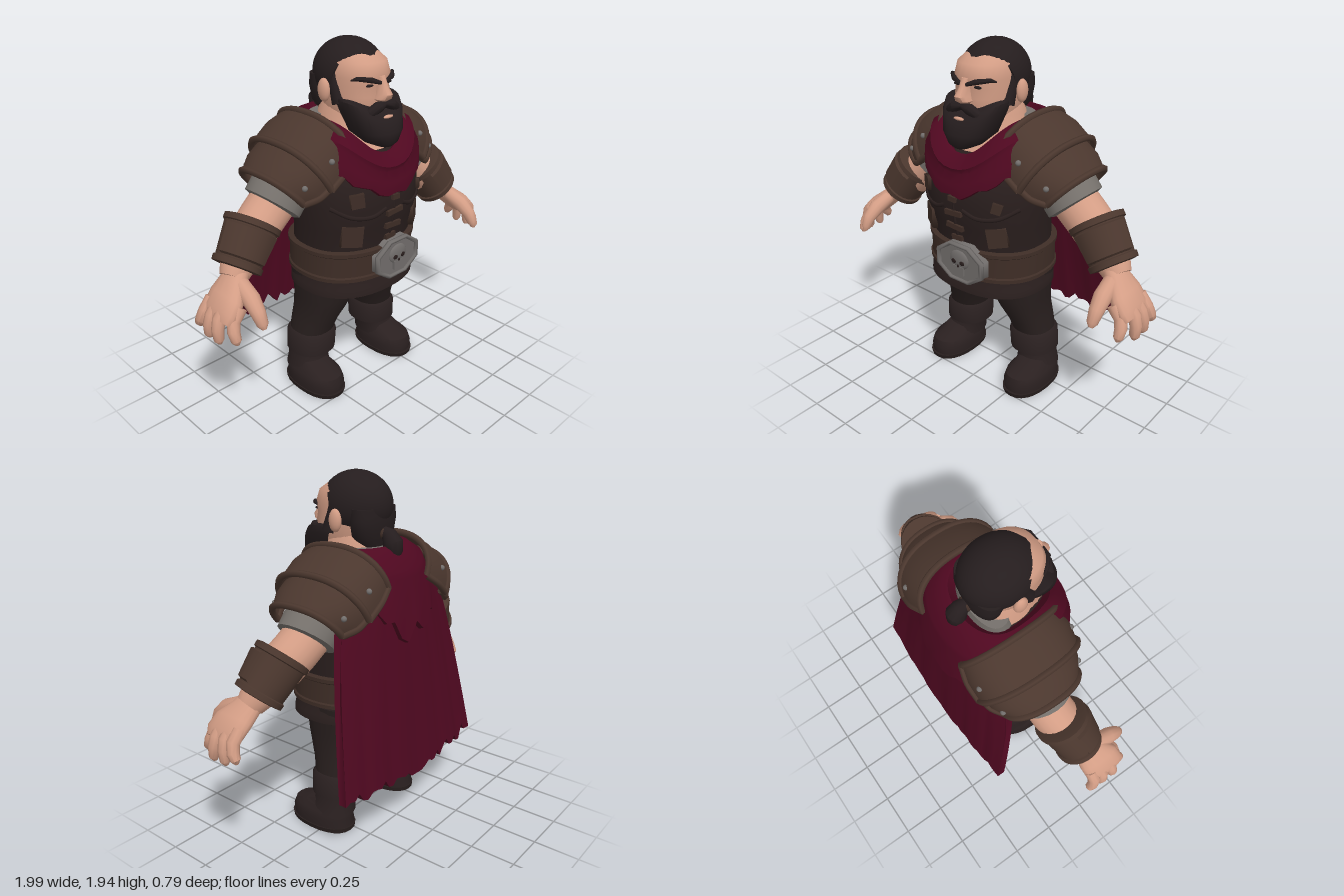
import * as THREE from 'three';
import { toCreasedNormals } from 'three/addons/utils/BufferGeometryUtils.js';

const V = (x, y, z) => new THREE.Vector3(x, y, z);
const lerp = THREE.MathUtils.lerp;
const mat = (name, color, side = THREE.FrontSide) => {
  const m = new THREE.MeshStandardMaterial({ color, side });
  m.name = name;
  return m;
};

// Surface through rows of points; closed rows become rings, optionally capped
function skin(rows, closed = true, caps = true) {
  const n = rows[0].length, pos = [], idx = [];
  rows.forEach(r => r.forEach(p => pos.push(p.x, p.y, p.z)));
  for (let i = 0; i < rows.length - 1; i++)
    for (let j = 0; j < (closed ? n : n - 1); j++) {
      const k = (j + 1) % n, a = i * n + j, b = i * n + k, c = a + n, d = b + n;
      idx.push(a, c, b, b, c, d);
    }
  if (closed && caps) [0, rows.length - 1].forEach(i => {
    const m = rows[i].reduce((s, p) => s.add(p), V(0, 0, 0)).divideScalar(n);
    const q = pos.length / 3;
    pos.push(m.x, m.y, m.z);
    for (let j = 0; j < n; j++) {
      const a = i * n + j, b = i * n + (j + 1) % n;
      i === 0 ? idx.push(q, a, b) : idx.push(q, b, a);
    }
  });
  const g = new THREE.BufferGeometry();
  g.setAttribute('position', new THREE.Float32BufferAttribute(pos, 3));
  g.setIndex(idx);
  return toCreasedNormals(g, 0.8);
}

// Upright body from sections [y, halfWidth, zFront, zBack, xCentre]
const pw = (v, e) => Math.sign(v) * Math.abs(v) ** e;
const POW = 2 / 2.3;
const loft = (sections, seg = 32, rule = p => p) => skin(sections.map(([y, hx, zf, zb, cx = 0]) =>
  Array.from({ length: seg }, (_, j) => {
    const t = j / seg * Math.PI * 2;
    return rule(V(cx + hx * pw(Math.cos(t), POW), y, (zf + zb) / 2 + (zf - zb) / 2 * pw(Math.sin(t), POW)));
  })));

// Tapered limb along points [x, y, z, radius]; a partial turn gives an open plate
function limb(pts, seg = 16, start = 0, turn = Math.PI * 2) {
  const P = pts.map(p => V(p[0], p[1], p[2])), full = turn > 6.28;
  return skin(P.map((p, i) => {
    const d = P[Math.min(i + 1, P.length - 1)].clone().sub(P[Math.max(i - 1, 0)]).normalize();
    const v = V(0, 0, 1).addScaledVector(d, -d.z).normalize(), u = d.clone().cross(v);
    return Array.from({ length: full ? seg : seg + 1 }, (_, j) => {
      const t = start + j / seg * turn;
      return p.clone().addScaledVector(u, pts[i][3] * Math.cos(t)).addScaledVector(v, pts[i][3] * Math.sin(t));
    });
  }), full);
}
const cord = (pts, r) => new THREE.TubeGeometry(new THREE.CatmullRomCurve3(pts), 28, r, 6);
const ball = (x, y, z, rx, ry = rx, rz = rx) => new THREE.SphereGeometry(1, 14, 10).scale(rx, ry, rz).translate(x, y, z);

function mirrored(geo) {
  const g = geo.index ? geo.toNonIndexed() : geo.clone();
  g.scale(-1, 1, 1);
  for (const a of Object.values(g.attributes))
    for (let i = 0; i < a.count; i += 3)
      for (let k = 0; k < a.itemSize; k++) {
        const x = a.array[(i + 1) * a.itemSize + k];
        a.array[(i + 1) * a.itemSize + k] = a.array[(i + 2) * a.itemSize + k];
        a.array[(i + 2) * a.itemSize + k] = x;
      }
  return g;
}

export function createModel() {
  const model = new THREE.Group();
  const skinTone = mat('skin', 0xd39d85), hair = mat('hair', 0x251d1e), vestM = mat('vest leather', 0x291e1d);
  const plate = mat('armour leather', 0x4b372e, THREE.DoubleSide), strap = mat('strap leather', 0x3e2d26);
  const red = mat('cape red', 0x4f0820, THREE.DoubleSide), shirt = mat('shirt grey', 0x76716c);
  const metal = mat('metal', 0x716d6b), pants = mat('trousers', 0x271e1d), boot = mat('boots', 0x2a2020);
  const add = (name, geo, m) => {
    const mesh = new THREE.Mesh(geo, m);
    mesh.name = name;
    model.add(mesh);
  };
  const pair = (name, geo, m) => { add(name + 'Left', geo, m); add(name + 'Right', mirrored(geo), m); };

  // Vest with flared hem
  const vest = [[0.63, 0.335, 0.34, -0.21], [0.64, 0.355, 0.36, -0.225], [0.68, 0.352, 0.355, -0.225], [0.7, 0.34, 0.345, -0.215],
    [0.8, 0.335, 0.335, -0.21], [0.92, 0.335, 0.335, -0.2], [1.02, 0.345, 0.36, -0.19], [1.15, 0.352, 0.378, -0.2],
    [1.28, 0.355, 0.365, -0.22], [1.4, 0.32, 0.29, -0.21], [1.5, 0.21, 0.17, -0.17]];
  add('vest', loft(vest, 40), vestM);
  const front = (x, y) => {
    const i = Math.max(1, vest.findIndex(s => s[0] >= y)), a = vest[i - 1], b = vest[i], t = (y - a[0]) / (b[0] - a[0]);
    const [hx, zf, zb] = [1, 2, 3].map(k => lerp(a[k], b[k], t));
    return (zf + zb) / 2 + (zf - zb) / 2 * (1 - (Math.abs(x) / hx) ** 2.3) ** (1 / 2.3);
  };
  const onVest = (geo, x, y, spin = 0) => geo.rotateZ(spin)
    .rotateY(Math.atan2(front(x - 0.02, y) - front(x + 0.02, y), 0.04)).translate(x, y, front(x, y));
  [[-0.22, 1.2, 0.055, 0.9], [-0.23, 1.0, 0.085, 0.7], [0.23, 1.0, 0.08, 0.95], [0.24, 1.17, 0.04, 0.5]].forEach(([x, y, r, spin]) =>
    add('vestPatch', onVest(new THREE.CylinderGeometry(r * 0.92, r, 0.03, 4).rotateX(Math.PI / 2), x, y, spin), strap));
  [[1.18, 0.05], [1.1, 0.11], [1.02, 0.11], [0.95, 0.07]].forEach(([y, w], i) =>
    add('vestLacing', onVest(new THREE.BoxGeometry(w, 0.028, 0.03), 0, y, i % 2 ? 0.06 : -0.06), strap));
  add('vestSeam', cord([0.92, 1.0, 1.1, 1.22].map(y => V(0, y, front(0, y))), 0.008), vestM);
  pair('chestFold', cord([[0.06, 1.13], [0.14, 1.1], [0.24, 1.11], [0.32, 1.16]].map(([x, y]) => V(x, y, front(x, y))), 0.012), vestM);

  // Belt, buckle and skull relief
  add('belt', loft([[0.73, 0.345, 0.345, -0.22], [0.735, 0.362, 0.362, -0.235], [0.755, 0.362, 0.362, -0.235], [0.762, 0.354, 0.354, -0.228],
    [0.873, 0.354, 0.354, -0.228], [0.88, 0.362, 0.362, -0.235], [0.9, 0.362, 0.362, -0.235], [0.905, 0.345, 0.345, -0.22]], 40), strap);
  const octagon = g => g.scale(1.03, 0.7, 1).translate(0.035, 0.82, 0.355);
  add('buckle', octagon(new THREE.CylinderGeometry(0.155, 0.17, 0.045, 8).rotateY(Math.PI / 8).rotateX(Math.PI / 2)), metal);
  add('buckleRim', octagon(new THREE.TorusGeometry(0.155, 0.016, 6, 8).rotateZ(Math.PI / 8).translate(0, 0, 0.02)), metal);
  add('skull', ball(0.035, 0.84, 0.375, 0.068, 0.055, 0.018), metal);
  add('skullJaw', new THREE.BoxGeometry(0.07, 0.05, 0.025).translate(0.035, 0.78, 0.378), metal);
  [-1, 1].forEach(s => add('skullEye', ball(0.035 + s * 0.028, 0.83, 0.39, 0.017, 0.013, 0.005), vestM));
  add('skullNose', ball(0.035, 0.807, 0.39, 0.007, 0.01, 0.004), vestM);

  // Legs and boots
  pair('leg', loft([[0.3, 0.112, 0.1, -0.13, 0.25], [0.4, 0.118, 0.13, -0.135, 0.225], [0.48, 0.132, 0.165, -0.135, 0.2],
    [0.56, 0.155, 0.19, -0.14, 0.178], [0.62, 0.168, 0.2, -0.15, 0.168], [0.72, 0.17, 0.22, -0.17, 0.168]], 24), pants);
  pair('bootCuff', loft([[0.195, 0.11, 0.1, -0.135, 0.25], [0.205, 0.13, 0.12, -0.148, 0.25], [0.315, 0.13, 0.125, -0.148, 0.243],
    [0.335, 0.115, 0.11, -0.135, 0.24]], 24), boot);
  pair('bootShaft', loft([[0.1, 0.11, 0.13, -0.135, 0.28], [0.16, 0.104, 0.1, -0.128, 0.27], [0.22, 0.108, 0.1, -0.13, 0.26]], 24), boot);
  pair('bootFoot', loft([[0.02, 0.115, 0.25, -0.135, 0.285], [0.07, 0.117, 0.255, -0.13, 0.285], [0.11, 0.108, 0.24, -0.13, 0.285],
    [0.135, 0.09, 0.17, -0.12, 0.283], [0.17, 0.08, 0.1, -0.11, 0.28]], 24), boot);
  pair('sole', loft([[0, 0.118, 0.258, -0.14, 0.285], [0.025, 0.122, 0.264, -0.142, 0.285]], 24), pants);

  // Arms, sleeves and hands
  pair('arm', limb([[0.4, 1.25, -0.02, 0.12], [0.48, 1.165, -0.02, 0.122], [0.56, 1.105, -0.01, 0.12], [0.65, 1.04, 0.01, 0.118],
    [0.75, 0.95, 0.04, 0.095], [0.8, 0.89, 0.06, 0.07]], 20), skinTone);
  pair('sleeve', limb([[0.32, 1.35, -0.02, 0.13], [0.38, 1.28, -0.02, 0.15], [0.43, 1.22, -0.02, 0.157], [0.48, 1.16, -0.02, 0.156],
    [0.487, 1.152, -0.02, 0.125]], 20), shirt);
  const along = (t, r) => [lerp(0.62, 0.765, t), lerp(1.11, 0.925, t), lerp(0, 0.04, t), r];
  pair('bracer', limb([along(-0.02, 0.125), along(0, 0.147), along(0.12, 0.147), along(0.14, 0.137), along(0.86, 0.12),
    along(0.88, 0.13), along(1, 0.128), along(1.02, 0.09)], 24), plate);
  pair('bracerPlate', limb([along(0.16, 0.135), along(0.2, 0.154), along(0.8, 0.138), along(0.84, 0.118)], 8, 1.2, 2), plate);
  [[0.715, 1.09], [0.785, 0.975]].forEach(([x, y]) => pair('bracerRivet', ball(x, y, 0.125, 0.014), metal));
  pair('palm', skin([[0.76, 0.935, 0.05, 0.05, 0.075], [0.81, 0.88, 0.075, 0.05, 0.085], [0.87, 0.83, 0.1, 0.052, 0.115],
    [0.92, 0.78, 0.11, 0.046, 0.118], [0.945, 0.745, 0.11, 0.03, 0.105]].map(([x, y, z, a, b]) =>
    Array.from({ length: 18 }, (_, j) => {
      const t = j / 9 * Math.PI, u = a * Math.cos(t);
      return V(x - u * 0.7, y - u * 0.7, z + b * pw(Math.sin(t), 0.8));
    }))), skinTone);
  [[0.2, 0.235, 0.65, 0.925], [0.14, 0.15, 0.635, 0.965], [0.08, 0.07, 0.635, 0.965], [0.025, -0.005, 0.665, 0.965]].forEach(([z0, z1, y, x]) =>
    pair('finger', limb([[x - 0.06, 0.81, z0, 0.034], [x - 0.015, 0.755, z0, 0.034], [x, 0.71, (z0 + z1) / 2, 0.031],
      [x, y + 0.02, z1, 0.026], [x - 0.005, y, z1, 0.012]], 10), skinTone));
  pair('thumb', limb([[0.8, 0.88, 0.12, 0.042], [0.81, 0.84, 0.21, 0.046], [0.815, 0.79, 0.27, 0.037], [0.815, 0.74, 0.3, 0.028],
    [0.815, 0.72, 0.31, 0.012]], 12), skinTone);

  // Layered shoulder armour
  const arch = ([x, y, nx, ny, h, rz]) => Array.from({ length: 25 }, (_, j) => {
    const t = j / 24 * Math.PI, k = h * pw(Math.sin(t), 0.88);
    return V(x + nx * k, y + ny * k, -0.02 + rz * pw(Math.cos(t), 0.85));
  });
  const inner = [[0.17, 1.4, 0.42, 0.9, 0.215, 0.275], [0.25, 1.345, 0.44, 0.9, 0.235, 0.295], [0.34, 1.275, 0.5, 0.87, 0.235, 0.29]];
  const outer = [[0.32, 1.285, 0.5, 0.87, 0.21, 0.272], [0.39, 1.24, 0.56, 0.83, 0.21, 0.26], [0.455, 1.21, 0.65, 0.76, 0.18, 0.215]];
  [['shoulderPlateInner', inner], ['shoulderPlateOuter', outer]].forEach(([name, secs]) => {
    const rows = secs.map(s => arch(s));
    pair(name, skin(rows, false), plate);
    [0, 2].forEach(i => pair(name + 'Rim', cord(rows[i], 0.018), plate));
    [0, 24].forEach(j => pair(name + 'Edge', cord(rows.map(r => r[j]), 0.018), plate));
    [3, 21].forEach(j => {
      const p = rows[1][j].clone().lerp(rows[2][j], 0.3);
      pair('shoulderRivet', ball(p.x, p.y, p.z, 0.015), metal);
    });
  });

  // Ragged cape: a thick slab of columns
  const zig = j => ((j * 7919 + 31) % 13) / 13 * 0.05 + (j % 3 === 0 ? 0.04 : 0);
  const cape = [];
  for (let j = 0; j <= 36; j++) {
    const u = j / 18 - 1, bottom = 0.33 + 0.03 * u * u + (j % 36 ? zig(j) * Math.min(1, Math.abs(u) * 3) : 0.02), out = [], back = [];
    for (let i = 0; i <= 10; i++) {
      const t = i / 10, y = lerp(1.42, bottom, t);
      const z = lerp(-0.29, -0.395, t) + lerp(0.1, 0.035, t) * u * u + 0.003 * t * Math.cos(u * 16), x = u * (0.35 + 0.24 * t ** 0.55);
      out.push(V(x, y, z));
      back.unshift(V(x, y, z + 0.045));
    }
    cape.push([...out, ...back]);
  }
  add('cape', skin(cape), red);

  // Draped mantle: rows [frontY, frontZ, sideX, sideY, backY, backZ]
  const mantle = [[1.18, 0.375, 0.36, 1.37, 1.08, -0.33], [1.19, 0.397, 0.375, 1.38, 1.09, -0.358], [1.27, 0.397, 0.365, 1.45, 1.3, -0.335],
    [1.32, 0.375, 0.33, 1.51, 1.42, -0.305], [1.345, 0.385, 0.32, 1.53, 1.46, -0.295], [1.4, 0.335, 0.25, 1.575, 1.56, -0.215],
    [1.405, 0.31, 0.22, 1.575, 1.575, -0.185], [1.36, 0.27, 0.18, 1.5, 1.5, -0.14]];
  add('mantle', skin(mantle.map(([fy, fz, sx, sy, by, bz], i) => Array.from({ length: 48 }, (_, j) => {
    const t = j / 24 * Math.PI, f = Math.sin(t), rag = i < 2 ? zig(j) * (f < 0 ? 1.3 : 0.4) : 0;
    return V(sx * pw(Math.cos(t), POW), lerp(sy, f > 0 ? fy : by, Math.abs(f) ** 3) + rag, pw(Math.abs(f), POW) * (f > 0 ? fz : bz));
  })), true, false), red);
  add('shirtCollar', loft([[1.45, 0.19, 0.08, -0.15], [1.565, 0.175, 0.03, -0.135]]), shirt);

  // Head and neck
  add('neck', loft([[1.34, 0.22, 0.3, -0.14], [1.42, 0.2, 0.275, -0.13], [1.5, 0.175, 0.2, -0.12], [1.58, 0.155, 0.2, -0.11],
    [1.62, 0.14, 0.2, -0.1]]), skinTone);
  add('head', loft([[1.52, 0.12, 0.23, -0.07], [1.6, 0.145, 0.25, -0.09], [1.68, 0.155, 0.268, -0.11], [1.73, 0.154, 0.258, -0.12],
    [1.77, 0.155, 0.274, -0.12], [1.84, 0.148, 0.247, -0.12], [1.885, 0.115, 0.18, -0.1], [1.915, 0.05, 0.1, -0.02]]), skinTone);
  add('nose', loft([[1.655, 0.024, 0.295, 0.22], [1.67, 0.044, 0.32, 0.22], [1.695, 0.036, 0.332, 0.22], [1.735, 0.022, 0.305, 0.22],
    [1.78, 0.024, 0.282, 0.22]], 12), skinTone);
  pair('ear', ball(0.175, 1.7, 0.042, 0.026, 0.06, 0.038), skinTone);
  pair('brow', limb([[0.018, 1.75, 0.28, 0.009], [0.07, 1.768, 0.268, 0.014], [0.125, 1.775, 0.22, 0.011], [0.14, 1.765, 0.195, 0.004]], 8), hair);
  pair('eye', ball(0.065, 1.738, 0.25, 0.026, 0.008, 0.008), hair);

  // Hair cap swept back from a peaked hairline, with nape and tail
  const cap = Array.from({ length: 16 }, (_, i) => Array.from({ length: 48 }, (_, j) => {
    const az = -j / 24 * Math.PI, s = Math.sin(az);
    const rim = (104 + (s > 0 ? 33 * s ** 1.5 + 11 * s ** 30 : 14 * s)) * Math.PI / 180;
    const a = Math.max(0.001, Math.min(i, 14) / 14 * rim), r = i === 15 ? 0.88 : 1;
    return V(0.172 * r * Math.sin(a) * Math.cos(az), 1.765 + 0.178 * r * Math.sin(a) * s, 0.04 - 0.202 * Math.cos(a));
  }));
  add('hairCap', skin(cap, true, false), hair);
  add('hairNape', loft([[1.56, 0.09, 0, -0.125], [1.62, 0.14, 0.01, -0.142], [1.7, 0.155, 0.02, -0.152], [1.76, 0.155, 0.02, -0.145]]), hair);
  add('ponytail', limb([[0, 1.64, -0.13, 0.03], [0, 1.625, -0.17, 0.042], [0, 1.585, -0.197, 0.054], [0, 1.54, -0.205, 0.045],
    [0, 1.49, -0.215, 0.01]], 12), hair);
  add('hairTie', ball(0, 1.63, -0.148, 0.042, 0.034, 0.022), strap);

  // Beard rising at the sides, moustache and lip
  add('beard', loft([[1.435, 0.04, 0.335, 0.24], [1.455, 0.085, 0.354, 0.18], [1.51, 0.138, 0.36, 0.1], [1.565, 0.168, 0.335, 0.06],
    [1.6, 0.175, 0.305, 0.05], [1.615, 0.168, 0.285, 0.05]], 32, p => {
    if (p.y > 1.55) p.y += 0.06 * (p.x / 0.17) ** 2;
    return p;
  }), hair);
  pair('sideburn', limb([[0.138, 1.8, 0.075, 0.025], [0.135, 1.73, 0.085, 0.036], [0.13, 1.64, 0.115, 0.045]], 10), hair);
  pair('moustache', limb([[0, 1.645, 0.29, 0.018], [0.045, 1.637, 0.292, 0.028], [0.09, 1.61, 0.277, 0.026], [0.12, 1.57, 0.265, 0.01]], 10), hair);
  add('lip', ball(0, 1.585, 0.316, 0.035, 0.009, 0.012), skinTone);
  return model;
}
